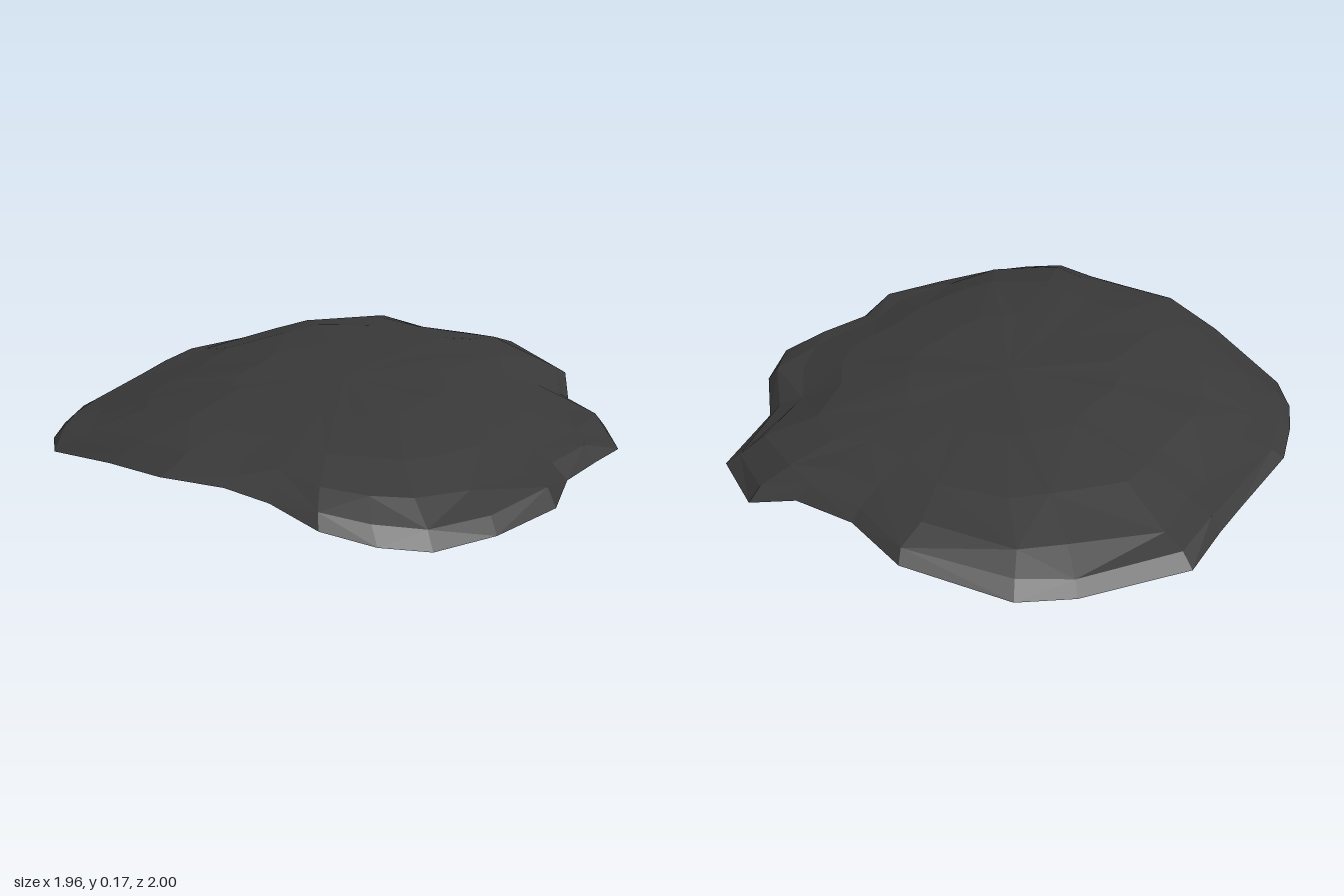
import * as THREE from 'three';

// Slab outline seen from above, clockwise (x, z, lift of the rim)
const OUTLINE = [
  [-0.22, -1, 0], [0.02, -0.91, 0], [0.25, -0.9, 0], [0.41, -0.95, 0], [0.65, -0.8, 0.015], [0.73, -0.48, 0],
  [0.9, -0.29, 0], [0.98, -0.09, 0], [0.93, 0.05, 0], [0.87, 0.24, 0], [0.88, 0.46, 0], [0.76, 0.71, 0],
  [0.62, 0.88, 0], [0.48, 0.955, 0], [0.32, 1, 0], [0.14, 0.94, 0], [-0.02, 0.915, 0.01], [-0.24, 0.915, 0.01],
  [-0.48, 0.82, 0.02], [-0.8, 0.67, 0], [-0.89, 0.55, 0], [-0.94, 0.41, 0], [-0.98, 0.23, 0], [-0.95, -0.12, 0],
  [-0.94, -0.26, 0], [-0.935, -0.47, 0], [-0.7, -0.78, 0], [-0.56, -0.91, 0],
];

// Arch of the rim and of the top along x (x, y)
const UNDER = [[-0.98, 0], [-0.88, 0], [-0.7, 0.02], [-0.22, 0.1], [0.2, 0.095], [0.35, 0.06], [0.5, 0.02], [0.63, 0], [0.98, 0]];
const TOP = [[-0.98, 0], [-0.91, 0.04], [-0.57, 0.135], [-0.35, 0.163], [-0.2, 0.17], [0.22, 0.17], [0.5, 0.143], [0.67, 0.108], [0.9, 0.045], [0.98, 0]];

// Rings from the hollow underside, round the rim, to the top centre: [scale, share of height between the arches]
const RINGS = [[0, 0.36], [0.5, 0.36], [0.84, 0.3], [1, 0], [0.95, 0.38], [0.86, 0.7], [0.68, 0.93], [0.38, 1], [0, 1]];
const RIM = 3;

function heightAt(curve, x) {
  for (let i = 1; i < curve.length; i++) {
    const [x0, y0] = curve[i - 1], [x1, y1] = curve[i];
    if (x <= x1) return y0 + (y1 - y0) * Math.max(0, (x - x0) / (x1 - x0));
  }
  return 0;
}

function seeded(seed) {
  return () => {
    seed = (seed * 16807) % 2147483647;
    return seed / 2147483647 - 0.5;
  };
}

function slabGeometry() {
  const rand = seeded(4711);
  const n = OUTLINE.length;
  const positions = [];
  const indices = [];
  RINGS.forEach(([scale, share], k) => {
    const loose = scale > 0 && scale < 1 ? 1 : 0;
    for (const [ox, oz, lift] of OUTLINE) {
      const x = ox * scale + loose * rand() * 0.025;
      const z = oz * scale + loose * rand() * 0.025;
      const low = heightAt(UNDER, x);
      const high = heightAt(TOP, x);
      // the top bevel fades out where the arch itself thins towards the sides
      const side = k > RIM ? THREE.MathUtils.smoothstep(Math.abs(x), 0.68, 0.93) : 0;
      const t = share + (1 - share) * side;
      const bump = k === RIM ? lift : loose * rand() * 0.008;
      positions.push(x, THREE.MathUtils.clamp(low + (high - low) * t + bump, low, 0.17), z);
    }
  });
  for (let k = 0; k < RINGS.length - 1; k++) {
    for (let i = 0; i < n; i++) {
      const j = (i + 1) % n;
      const a = k * n + i, b = k * n + j, c = a + n, d = b + n;
      if (k === 0) indices.push(a, c, d);
      else if (k === RINGS.length - 2) indices.push(a, c, b);
      else if ((i + k) % 2) indices.push(a, c, b, b, c, d);
      else indices.push(a, c, d, a, d, b);
    }
  }
  const geometry = new THREE.BufferGeometry();
  geometry.setAttribute('position', new THREE.Float32BufferAttribute(positions, 3));
  geometry.setIndex(indices);
  const faceted = geometry.toNonIndexed();
  faceted.computeVertexNormals();
  return faceted;
}

export function createModel() {
  const group = new THREE.Group();
  group.name = 'archedRock';
  const slab = new THREE.Mesh(
    slabGeometry(),
    new THREE.MeshStandardMaterial({ color: 0x393939, flatShading: true })
  );
  slab.name = 'rockSlab';
  group.add(slab);
  return group;
}
